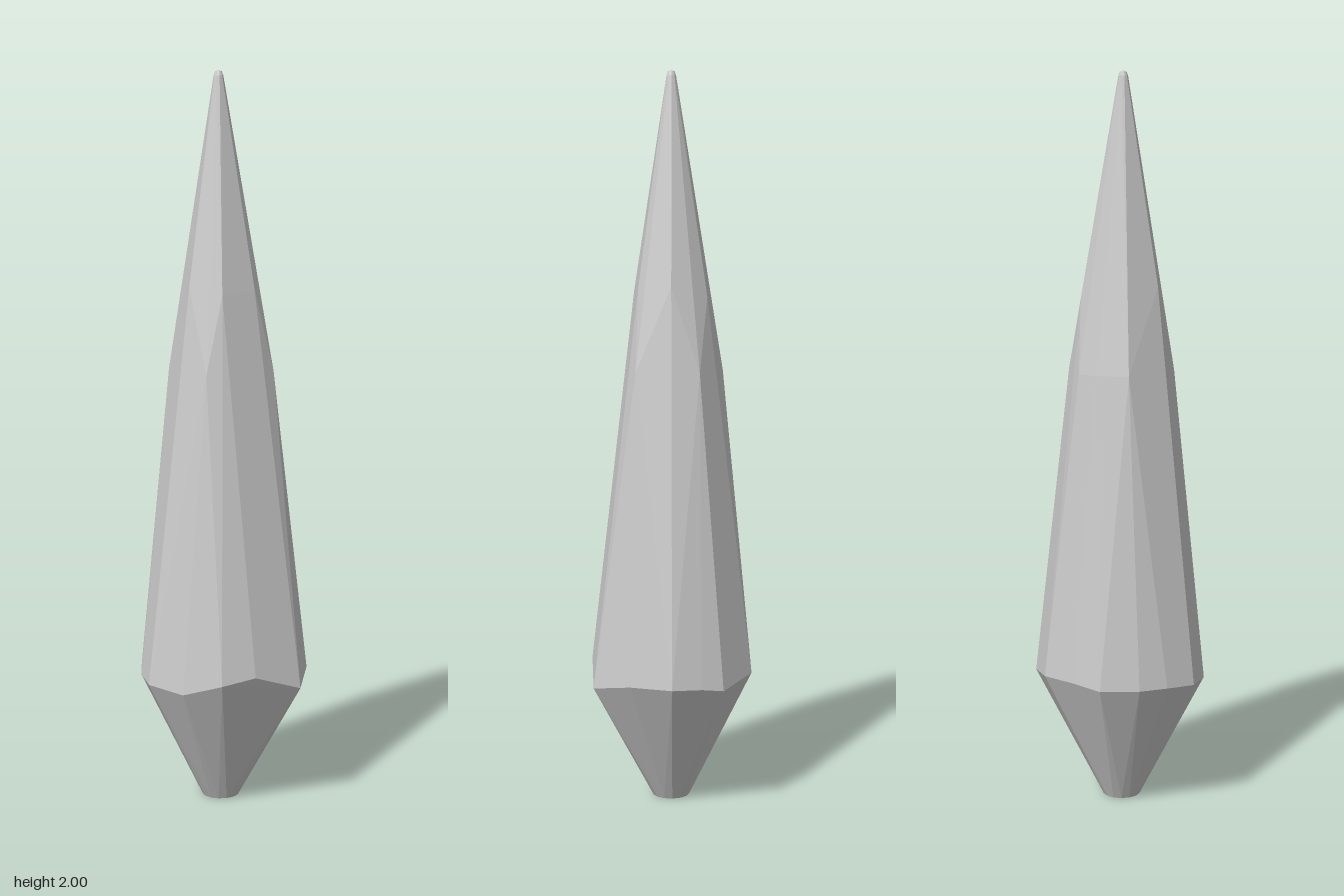
import * as THREE from 'three';
import { ConvexGeometry } from 'three/addons/geometries/ConvexGeometry.js';

// Irregular widest outline: x, y, z
const girdle = [
  [0.243, 0.365, 0.012], [0.2, 0.365, 0.122], [0.115, 0.34, 0.217], [-0.03, 0.39, 0.216],
  [-0.123, 0.375, 0.195], [-0.2, 0.345, 0.12], [-0.245, 0.355, 0.015], [-0.22, 0.36, -0.07],
  [-0.18, 0.36, -0.14], [-0.1, 0.36, -0.21], [-0.015, 0.37, -0.22], [0.09, 0.37, -0.217],
  [0.2, 0.35, -0.13], [0.22, 0.36, -0.07],
];

// Corners where the long facets bend in toward the tip
const shoulders = [
  [-0.115, 1.43, 0.017], [-0.11, 1.2, 0.095], [-0.06, 1.41, 0.095], [0.045, 1.42, 0.09],
  [0.106, 1.43, 0.005], [0.1, 1.2, 0.1], [0.06, 1.4, -0.095], [0.03, 1.2, -0.14],
  [-0.03, 1.2, -0.14], [-0.11, 1.2, -0.1], [0.125, 1.2, -0.07],
];

// Horizontal ring of corners for the flat foot and the rounded tip
function ring(cx, y, cz, radius, count) {
  return Array.from({ length: count }, (_, i) => {
    const a = (i / count) * Math.PI * 2;
    return [cx + radius * Math.cos(a), y, cz + radius * Math.sin(a)];
  });
}

export function createModel() {
  const group = new THREE.Group();
  group.name = 'crystal';

  const corners = [
    ...ring(-0.005, 0, -0.002, 0.051, 14),
    ...girdle,
    ...shoulders,
    ...ring(-0.011, 1.985, -0.003, 0.013, 10),
    ...ring(-0.011, 1.996, -0.003, 0.009, 10),
    [-0.011, 2, -0.003],
  ].map((p) => new THREE.Vector3(...p));

  // Faceted body wrapped around all corners
  const body = new THREE.Mesh(
    new ConvexGeometry(corners),
    new THREE.MeshStandardMaterial({ color: 0xcccccc, flatShading: true }),
  );
  body.name = 'crystalBody';
  group.add(body);
  return group;
}
